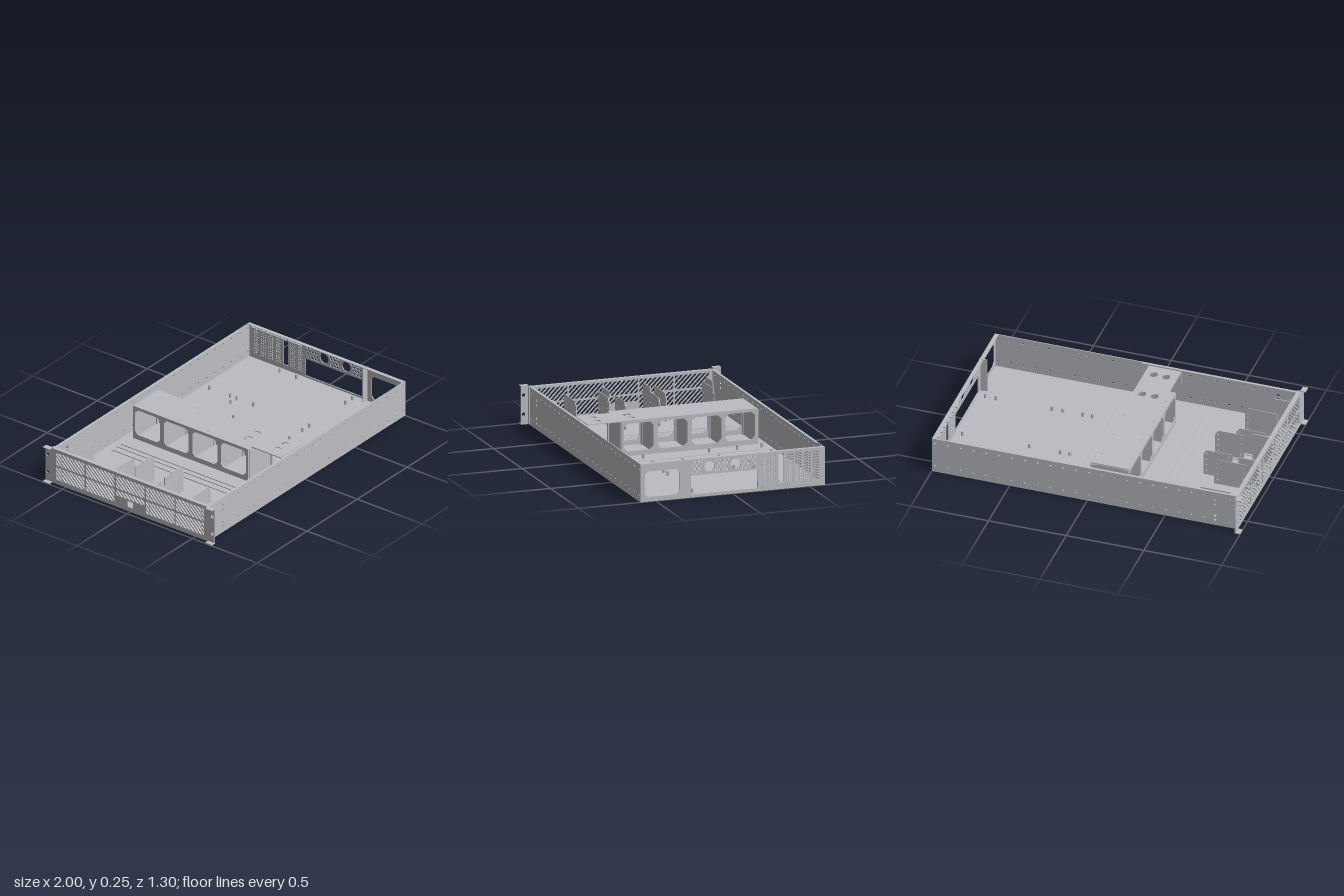
import * as THREE from 'three';

const T = 0.006; // sheet thickness

// outlines
const poly = (pts) => pts.map(([a, b]) => new THREE.Vector2(a, b));
const rect = (u0, v0, u1, v1, c = 0) => poly(c
  ? [[u0 + c, v0], [u1 - c, v0], [u1, v0 + c], [u1, v1 - c], [u1 - c, v1], [u0 + c, v1], [u0, v1 - c], [u0, v0 + c]]
  : [[u0, v0], [u1, v0], [u1, v1], [u0, v1]]);
const ring = (u, v, r, n = 8) => poly(Array.from({ length: n }, (_, i) => {
  const a = (i + 0.5) / n * Math.PI * 2;
  return [u + r * Math.cos(a), v + r * Math.sin(a)];
}));

// keep the part of a polygon where s * (u + v) <= s * c
function cutDiagonal(pts, c, s) {
  const out = [], f = (p) => s * (p.x + p.y - c);
  pts.forEach((p, i) => {
    const q = pts[(i + 1) % pts.length], a = f(p), b = f(q);
    if (a <= 0) out.push(p);
    if (a * b < 0) out.push(p.clone().lerp(q, a / (a - b)));
  });
  return out;
}

// diagonal slots filling a rectangular cell
function slots(u0, v0, u1, v1) {
  const cell = rect(u0, v0, u1, v1), list = [];
  for (let c = u0 + v0 + 0.012; c < u1 + v1 - 0.02; c += 0.03) {
    const s = cutDiagonal(cutDiagonal(cell, c + 0.018, 1), c, -1);
    if (s.length > 2) list.push(s);
  }
  return list;
}

export function createModel() {
  const model = new THREE.Group();
  model.name = 'rackChassis';
  const steel = new THREE.MeshStandardMaterial({ color: 0xbcbdc2 });
  steel.name = 'galvanised steel';

  const add = (name, geo, x = 0, y = 0, z = 0) => {
    const m = new THREE.Mesh(geo, steel);
    m.name = name;
    m.position.set(x, y, z);
    model.add(m);
    return m;
  };
  const box = (name, x0, x1, y0, y1, z0, z1) =>
    add(name, new THREE.BoxGeometry(x1 - x0, y1 - y0, z1 - z0), (x0 + x1) / 2, (y0 + y1) / 2, (z0 + z1) / 2);
  const sheet = (outline, holes, depth) => {
    const s = new THREE.Shape(outline);
    s.holes = holes.map((h) => new THREE.Path(h));
    return new THREE.ExtrudeGeometry(s, { depth, bevelEnabled: false });
  };
  // sheets facing x (outline z,y), y (outline x,z) and z (outline x,y)
  const sheetX = (name, x, outline, holes = [], t = T) => add(name, sheet(outline, holes, t).rotateY(-Math.PI / 2), x);
  const sheetY = (name, y, outline, holes = [], t = T) => add(name, sheet(outline, holes, t).rotateX(Math.PI / 2), 0, y);
  const sheetZ = (name, z, outline, holes = [], t = T) => add(name, sheet(outline, holes, t), 0, 0, z);

  // floor with shallow raised panels
  box('floor', -0.97, 1, 0, 0.008, -0.6, 0.6);
  [[-0.94, -0.46], [-0.445, -0.405], [-0.395, -0.365], [-0.355, 0.13], [0.14, 0.275], [0.285, 0.97]].forEach(([a, b]) =>
    box('floorPanel', a, b, 0.008, 0.013, -0.55, 0.54));

  // side walls with two rows of small holes and the ear screw holes
  const wallHoles = [];
  for (let i = 0; i < 24; i++) {
    const x = -0.92 + i * 0.0826;
    if (i === 1) continue;
    wallHoles.push(ring(x, 0.207, 0.006), ring(x, 0.045, 0.006));
  }
  [0.185, 0.155, 0.07, 0.04].forEach((y) => wallHoles.push(ring(-0.825, y, 0.009)));
  for (const s of [1, -1]) {
    sheetZ('sideWall', s > 0 ? 0.6 - T : -0.6, rect(-0.97, 0.004, 1, 0.24), wallHoles);
    const z = s * 0.591;
    box('wallTopFlange', -0.97, s > 0 ? 0.05 : 0.88, 0.235, 0.24, z - 0.008, z + 0.008);
    // mounting ears: plate with short top and bottom returns
    const a = s > 0 ? 0.6 : -0.65;
    sheetX('ear', -0.966, rect(a, 0, a + 0.05, 0.245), [ring(s * 0.633, 0.185, 0.011, 12), ring(s * 0.633, 0.065, 0.011, 12)]);
    box('earTop', -1, -0.968, 0.239, 0.245, a, a + 0.05);
    box('earBottom', -1, -0.968, 0, 0.006, a, a + 0.05);
    box('earBracket', -0.97, -0.945, 0.004, 0.243, s * 0.602 - 0.003, s * 0.602 + 0.003);
  }

  // front grille with diagonal slots in two rows
  const grille = [rect(-0.02, 0.03, 0.02, 0.07)];
  for (let i = 0; i < 5; i++) {
    const u0 = -0.57 + i * 0.23, u1 = u0 + 0.22;
    grille.push(...slots(u0, 0.13, u1, 0.218));
    grille.push(...(i === 2 ? slots(u0, 0.08, u1, 0.118) : slots(u0, 0.03, u1, 0.118)));
  }
  sheetX('frontGrille', -0.964, rect(-0.6, 0.004, 0.6, 0.24), grille);
  box('grilleTopFlange', -0.97, -0.945, 0.235, 0.24, -0.6, 0.6);

  // rear panel: power opening, port opening, vents and slot covers
  const rear = [rect(0.345, 0.03, 0.57, 0.19, 0.02), rect(-0.165, 0.02, 0.27, 0.138)];
  const ports = [-0.02, 0.15];
  ports.forEach((z) => rear.push(ring(z, 0.188, 0.033, 20)));
  for (let r = 0; r < 4; r++) for (let i = 0; i < 17; i++) {
    const z = 0.255 - i * 0.0245 - (r % 2) * 0.012, y = 0.157 + r * 0.021;
    if (ports.every((p) => Math.hypot(z - p, y - 0.188) > 0.046)) rear.push(ring(z, y, 0.0085, 6));
  }
  for (let k = 0; k < 7; k++) {
    const z = -0.203 - k * 0.0565;
    if (k === 2) rear.push(rect(z - 0.018, 0.04, z + 0.018, 0.222));
    else for (let c = -1; c <= 1; c++) for (let r = 0; r < 11; r++)
      rear.push(ring(z + c * 0.0145, 0.045 + r * 0.0168 + (c ? 0 : 0.006), 0.0055, 6));
    box('slotCoverTab', 0.965, 1, 0.228, 0.236, z - 0.022, z + 0.022);
    if (k !== 2) box('slotCoverLip', 0.998, 1.003, 0.018, 0.03, z - 0.018, z + 0.018);
  }
  sheetX('rearPanel', 1, rect(-0.6, 0.004, 0.6, 0.24), rear);
  box('rearTopFlange', 0.975, 1, 0.235, 0.24, -0.6, 0.6);
  box('rearDivider', 0.95, 1.002, 0.01, 0.243, 0.308, 0.314);

  // fan cage: two pierced faces, dividers and a stepped cover
  const edges = [0, 1, 2, 3, 4].map((i) => -0.53 + i * 0.22);
  const fans = edges.slice(0, 4).map((z) => rect(z + 0.014, 0.045, z + 0.206, 0.218, 0.022));
  sheetX('fanCageRear', 0, rect(-0.53, 0.01, 0.35, 0.232), fans);
  sheetX('fanCageFront', -0.244, rect(-0.53, 0.01, 0.35, 0.232), fans);
  edges.forEach((z) => {
    box('fanDivider', -0.25, 0, 0.01, 0.232, z - 0.003, z + 0.003);
    for (const x of [-0.243, -0.026]) box('fanPost', x, x + 0.02, 0.01, 0.23, z - 0.009, z + 0.009);
  });
  const coverHoles = [];
  for (const x of [-0.14, -0.06]) for (const z of [0.27, 0.49]) coverHoles.push(ring(x, z, 0.025, 20));
  for (const x of [-0.22, -0.03]) for (const z of edges) coverHoles.push(ring(x, z + 0.11 > 0.35 ? 0.2 : z + 0.11, 0.005, 6));
  coverHoles.splice(-1, 1);
  coverHoles.splice(8, 1);
  sheetY('fanCover', 0.238, poly([[-0.25, -0.53], [0, -0.53], [0, 0.575], [-0.21, 0.575], [-0.21, 0.35], [-0.25, 0.35]]), coverHoles);
  box('coverEndPlate', -0.21, 0, 0.15, 0.236, 0.57, 0.575);

  // drive mounting plates standing on the floor behind the grille
  const plate = (x0, x1, z, top) => {
    const holes = [];
    for (let r = 0; r < 4; r++) for (const x of [x0 + 0.02, x1 - 0.02]) holes.push(ring(x, 0.045 + r * (top - 0.07) / 3, 0.005, 6));
    sheetZ('drivePlate', z - 0.002, poly([[x0, 0.012], [x1, 0.012], [x1, top - 0.03], [x1 - 0.02, top], [x0, top]]), holes, 0.004);
    const s = z > 0 ? -1 : 1;
    box('drivePlateFoot', x0 + 0.03, x1 - 0.03, 0.012, 0.017, Math.min(z, z + s * 0.018), Math.max(z, z + s * 0.018));
  };
  [[-0.89, -0.68, 0.5], [-0.89, -0.68, 0.19], [-0.77, -0.585, 0.113]].forEach(([a, b, z]) => plate(a, b, -z, 0.19));
  [[-0.89, -0.68, 0.395], [-0.89, -0.7, 0.175], [-0.77, -0.585, 0.11]].forEach(([a, b, z]) => plate(a, b, z, 0.19));
  for (const z of [-0.545, -0.138, 0.13, 0.533]) box('frontBracket', -0.945, -0.82, 0.012, 0.2, z - 0.003, z + 0.003);

  // board standoffs
  const rows = [
    [-0.53, [0.08, 0.25, 0.51]], [-0.37, [0.08, 0.51]], [-0.32, [0.45, 0.51, 0.94]],
    [-0.19, [0.08, 0.25, 0.31, 0.51, 0.94]], [0.24, [0.08, 0.25, 0.31, 0.44, 0.51, 0.87, 0.94]],
  ];
  const post = new THREE.CylinderGeometry(0.009, 0.009, 0.03, 6);
  for (const [z, xs] of rows) for (const x of xs) add('standoff', post, x, 0.027, z);

  return model;
}
